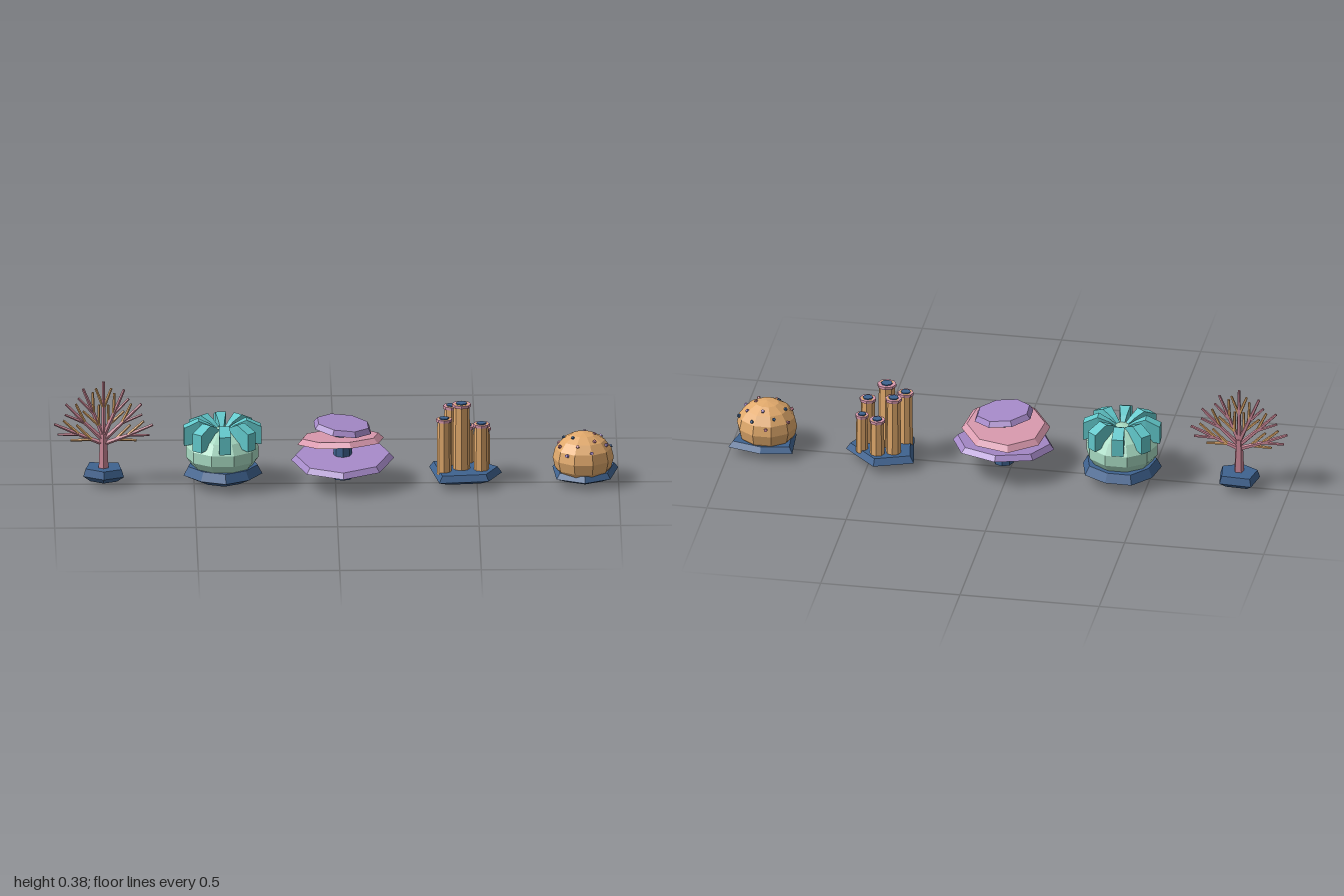
import * as THREE from 'three';
import { ConvexGeometry } from 'three/addons/geometries/ConvexGeometry.js';

const mat = (color) => new THREE.MeshStandardMaterial({ color, flatShading: true });
const rockMat = mat(0x3f6390), pink = mat(0xd999ae), fanPink = mat(0xcc8797), purple = mat(0xa68ac9);
const teal = mat(0x62c9cc), mint = mat(0xa9dcc4), sand = mat(0xe2aa6c);

function add(parent, name, geometry, material, x = 0, y = 0, z = 0) {
  const mesh = new THREE.Mesh(geometry, material);
  mesh.name = name;
  mesh.position.set(x, y, z);
  parent.add(mesh);
  return mesh;
}

function section(parent, name, x) {
  const g = new THREE.Group();
  g.name = name;
  g.position.x = x;
  parent.add(g);
  return g;
}

// Tapered rod between two points
function rod(parent, name, a, b, r0, r1, material) {
  const d = b.clone().sub(a);
  const mesh = add(parent, name, new THREE.CylinderGeometry(r1, r0, d.length(), 5), material);
  mesh.position.copy(a).add(b).multiplyScalar(0.5);
  mesh.quaternion.setFromUnitVectors(new THREE.Vector3(0, 1, 0), d.normalize());
  return mesh;
}

// Faceted rock: an outline in x,z with a narrower foot and top
function rock(parent, outline, h) {
  const pts = [new THREE.Vector3(0, 0, 0)];
  for (const [x, z] of outline) {
    pts.push(new THREE.Vector3(x * 0.65, h * 0.14, z * 0.65));
    pts.push(new THREE.Vector3(x, h * 0.5, z));
    pts.push(new THREE.Vector3(x * 0.88, h, z * 0.88));
  }
  return add(parent, 'rockBase', new ConvexGeometry(pts), rockMat);
}

// Flat fan of forking branches
function fanCoral(root) {
  const g = section(root, 'fanCoral', -0.82);
  rock(g, [[-0.055, -0.067], [0.06, -0.06], [0.072, 0.03], [0, 0.062], [-0.072, 0.02]], 0.055);
  const at = (x, y, z = 0) => new THREE.Vector3(x, y, z);
  rod(g, 'trunk', at(0, 0.04), at(0, 0.18), 0.019, 0.013, fanPink);
  const step = (p, a, len) => at(p.x + Math.sin(a) * len, p.y + Math.cos(a) * len, p.z);
  for (let i = -3; i <= 3; i++) {
    const a = i * 0.4;
    const start = at(0, 0.185 - Math.abs(i) * 0.014);
    const mid = step(start, a, 0.09);
    mid.z = (i % 2) * 0.005;
    rod(g, 'branch', start, mid, 0.009, 0.007, fanPink);
    rod(g, 'branch', mid, step(mid, a * 0.97, 0.098), 0.007, 0.005, fanPink);
    for (const s of [-1, 1]) {
      rod(g, 'twig', mid, step(mid, a + s * 0.36, 0.078), 0.006, 0.0045, s * i > 0 ? fanPink : sand);
      const low = step(start, a, 0.045);
      if (i % 2) rod(g, 'twig', low, step(low, a + s * 0.42, 0.075), 0.006, 0.0045, sand);
    }
  }
}

// Domed body with eight arched fins
function crownCoral(root) {
  const g = section(root, 'crownCoral', -0.4);
  const outline = [];
  for (let i = 0; i < 9; i++) {
    const a = (i / 9) * Math.PI * 2 + 0.1;
    const r = i % 2 ? 0.133 : 0.142;
    outline.push([Math.cos(a) * r, Math.sin(a) * r - 0.008]);
  }
  rock(g, outline, 0.064);
  add(g, 'body', new THREE.SphereGeometry(0.131, 10, 7), mint, 0, 0.112, 0).scale.set(1, 0.68, 0.98);

  // Fin cross-sections: radius, low y, high y, half width
  const rings = [[0, 0.14, 0.182, 0.004], [0.045, 0.165, 0.213, 0.011],
    [0.085, 0.15, 0.232, 0.019], [0.137, 0.142, 0.207, 0.021]];
  const pos = [], idx = [];
  rings.forEach(([r, lo, hi, w]) => pos.push(r, lo, w, r, hi, w, r, hi, -w, r, lo, -w));
  for (let i = 0; i < 3; i++) for (let k = 0; k < 4; k++) {
    const a = i * 4 + k, b = i * 4 + (k + 1) % 4;
    idx.push(a, a + 4, b, b, a + 4, b + 4);
  }
  idx.push(12, 15, 14, 12, 14, 13);
  const fin = new THREE.BufferGeometry();
  fin.setAttribute('position', new THREE.Float32BufferAttribute(pos, 3));
  fin.setIndex(idx);
  const finGeometry = fin.toNonIndexed();
  finGeometry.computeVertexNormals();
  for (let i = 0; i < 8; i++) {
    add(g, 'fin', finGeometry, teal).rotation.y = (i / 8) * Math.PI * 2 + 0.06;
  }
}

// Three tilted plates on a stem
function plateCoral(root) {
  const g = section(root, 'plateCoral', 0.025);
  add(g, 'stem', new THREE.CylinderGeometry(0.03, 0.036, 0.19, 8), rockMat, 0, 0.108, 0);
  const plates = [
    ['lowerPlate', 0.166, 0.182, 0.092, 0.11, 0.02, purple, 8],
    ['middlePlate', 0.138, 0.157, 0.158, -0.13, 0.04, pink, 8],
    ['upperPlate', 0.096, 0.108, 0.207, 0.02, -0.11, purple, 8]];
  plates.forEach(([name, rTop, rBottom, y, tiltX, tiltZ, material, sides], i) => {
    const geo = new THREE.CylinderGeometry(rTop, rBottom, 0.019, sides);
    geo.rotateY(i * 0.22);
    add(g, name, geo, material, i === 1 ? -0.008 : 0, y, 0).rotation.set(-tiltX * -1, 0, tiltZ);
    g.children.at(-1).rotation.x = -tiltX * -1;
  });
}

// Cluster of open pipes
function tubeCoral(root) {
  const g = section(root, 'tubeCoral', 0.46);
  rock(g, [[-0.128, -0.09], [0.008, -0.14], [0.128, -0.02], [0.08, 0.085], [-0.095, 0.105]], 0.046);
  const tubes = [[-0.015, 0, 0.285, 0.031], [-0.05, -0.058, 0.26, 0.027], [-0.077, 0.032, 0.24, 0.026],
    [0.055, 0.013, 0.215, 0.027], [0.065, -0.05, 0.18, 0.022], [0.005, -0.078, 0.18, 0.026]];
  for (const [x, z, h, r] of tubes) {
    const len = h - 0.035;
    add(g, 'tube', new THREE.CylinderGeometry(r * 0.92, r, len, 8), sand, x, 0.035 + len / 2, z);
    add(g, 'tubeRim', new THREE.CylinderGeometry(r * 1.1, r * 1.1, 0.01, 8), pink, x, h - 0.005, z);
    add(g, 'tubeOpening', new THREE.CylinderGeometry(r * 0.65, r * 0.65, 0.008, 8), rockMat, x, h, z);
  }
}

// Round dome dotted with small polyps
function domeCoral(root) {
  const g = section(root, 'domeCoral', 0.88);
  rock(g, [[-0.112, -0.09], [0, -0.112], [0.12, -0.08], [0.09, 0.06], [0, 0.108], [-0.1, 0.06]], 0.042);
  const c = new THREE.Vector3(-0.005, 0.085, 0);
  const dome = new THREE.SphereGeometry(0.108, 10, 8);
  add(g, 'dome', dome, sand, c.x, c.y, c.z).scale.y = 0.86;
  const colors = [fanPink, rockMat, purple];
  for (let i = 0; i < 16; i++) {
    const a = i * 2.4, up = 0.93 - i * 0.043, flat = Math.sqrt(1 - up * up);
    const n = new THREE.Vector3(Math.cos(a) * flat, up * 0.86, Math.sin(a) * flat);
    rod(g, 'polyp', c.clone().addScaledVector(n, 0.095), c.clone().addScaledVector(n, 0.112),
      0.007, 0.006, colors[i % 3]);
  }
}

export function createModel() {
  const root = new THREE.Group();
  root.name = 'coralSet';
  [fanCoral, crownCoral, plateCoral, tubeCoral, domeCoral].forEach((build) => build(root));
  return root;
}
